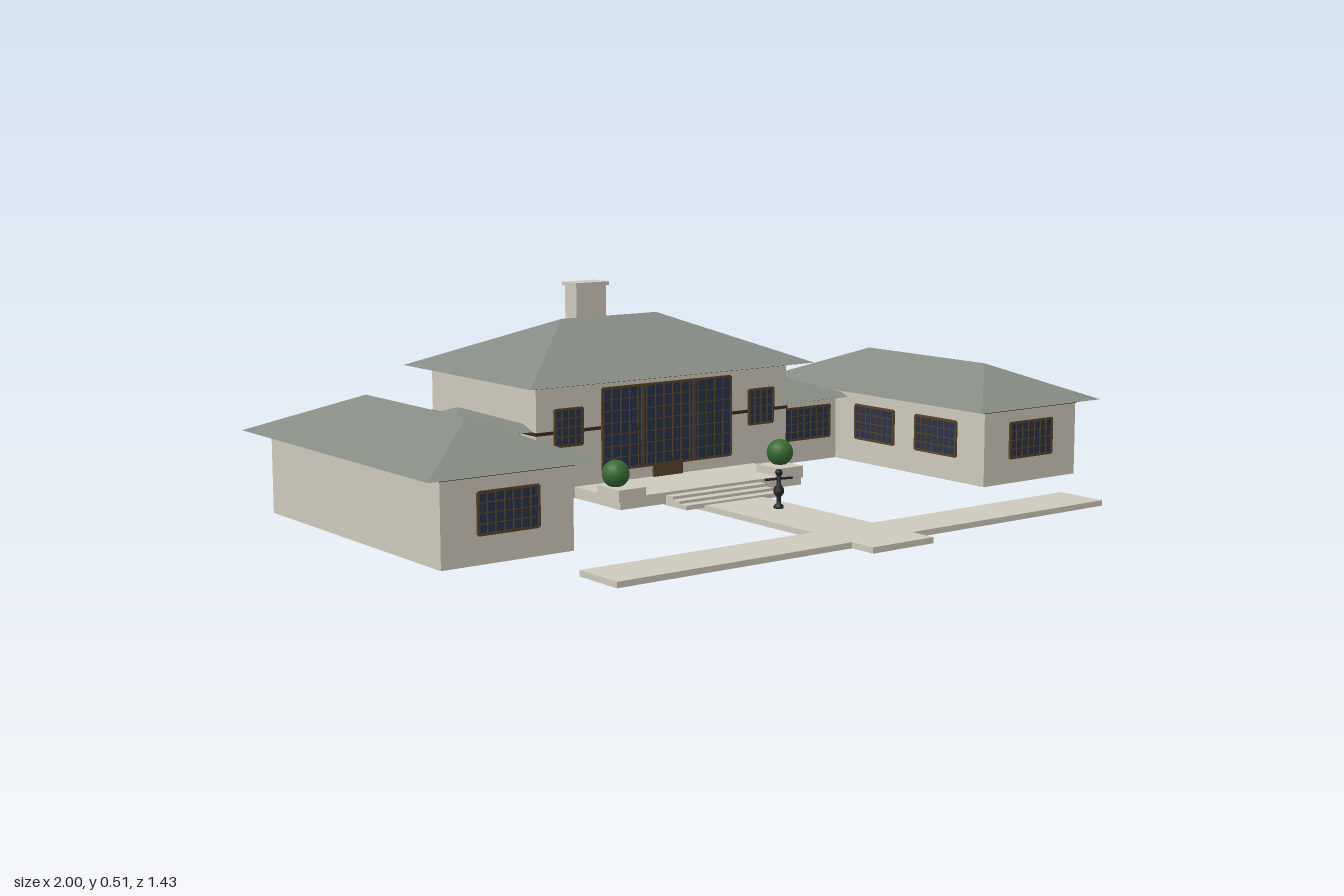
import * as THREE from 'three';

const mat = (name, color, extra = {}) => {
  const m = new THREE.MeshStandardMaterial({ color, ...extra });
  m.name = name;
  return m;
};

export function createModel() {
  const stone = mat('stone', 0xcec9bc);
  const roofTile = mat('roofTile', 0x868c84);
  const trim = mat('darkTrim', 0x3d2c20);
  const frame = mat('bronzeFrame', 0x5a4428);
  const glass = mat('glass', 0x27344c);
  const leaf = mat('leaf', 0x376b33);
  const iron = mat('iron', 0x25262a);

  const house = new THREE.Group();
  house.name = 'house';

  // Box given by its min and max on each axis
  function box(name, material, x0, x1, y0, y1, z0, z1, parent = house) {
    const mesh = new THREE.Mesh(new THREE.BoxGeometry(x1 - x0, y1 - y0, z1 - z0), material);
    mesh.position.set((x0 + x1) / 2, (y0 + y1) / 2, (z0 + z1) / 2);
    mesh.name = name;
    parent.add(mesh);
    return mesh;
  }

  // Hip roof: rectangular eave, ridge between two points (a before b), flat soffit
  function hipRoof(name, x0, x1, z0, z1, eave, top, a, b) {
    const alongX = a[0] !== b[0];
    const A = [a[0], top, a[1]], B = [b[0], top, b[1]];
    const c = [[x0, eave, z0], [x1, eave, z0], [x1, eave, z1], [x0, eave, z1]];
    const tris = alongX
      ? [c[3], c[2], B, c[3], B, A, c[1], c[0], A, c[1], A, B, c[0], c[3], A, c[2], c[1], B]
      : [c[3], c[2], B, c[1], c[0], A, c[0], c[3], B, c[0], B, A, c[2], c[1], A, c[2], A, B];
    tris.push(c[0], c[1], c[2], c[0], c[2], c[3]);
    const g = new THREE.BufferGeometry();
    g.setAttribute('position', new THREE.Float32BufferAttribute(tris.flat(), 3));
    g.computeVertexNormals();
    const mesh = new THREE.Mesh(g, roofTile);
    mesh.name = name;
    house.add(mesh);
  }

  // Walls with a dark band under the eaves
  function walls(name, x0, x1, z0, z1, top) {
    box(name, stone, x0, x1, 0.012, top - 0.001, z0, z1);
    const e = 0.003;
    box(name + 'EaveBand', trim, x0 - e, x1 + e, top - 0.011, top - 0.001, z0 - e, z1 + e);
  }

  // Gridded window facing +z, turned by angle
  function addWindow(name, x, y, z, w, h, cols, rows, angle = 0) {
    const g = new THREE.Group();
    g.name = name;
    box('pane', glass, -w / 2, w / 2, -h / 2, h / 2, 0, 0.003, g);
    for (let i = 0; i <= cols; i++) {
      const edge = i === 0 || i === cols;
      const t = edge ? 0.003 : 0.0012, p = -w / 2 + (w * i) / cols;
      box('mullion', frame, p - t, p + t, -h / 2, h / 2, 0, 0.005, g);
    }
    for (let j = 0; j <= rows; j++) {
      const edge = j === 0 || j === rows;
      const t = edge ? 0.003 : 0.0012, p = -h / 2 + (h * j) / rows;
      box('glazingBar', frame, -w / 2, w / 2, p - t, p + t, 0, 0.0045, g);
    }
    g.position.set(x, y, z);
    g.rotation.y = angle;
    house.add(g);
    return g;
  }

  // Main block
  walls('mainWalls', -0.39, 0.39, -0.66, -0.165, 0.3);
  box('stringCourse', trim, -0.393, 0.393, 0.175, 0.183, -0.663, -0.162);
  hipRoof('mainRoof', -0.44, 0.44, -0.72, -0.11, 0.298, 0.425, [-0.15, -0.415], [0.15, -0.415]);
  box('chimney', stone, -0.047, 0.047, 0.3, 0.497, -0.552, -0.498);
  box('chimneyCap', stone, -0.052, 0.052, 0.496, 0.506, -0.558, -0.492);

  // Great window in three bays, with the door below
  const great = addWindow('greatWindow', 0, 0.174, -0.161, 0.4, 0.205, 15, 7);
  for (const x of [-0.08, 0.08]) box('bayPost', frame, x - 0.004, x + 0.004, -0.1, 0.1, 0, 0.006, great);
  box('doorPanel', frame, -0.045, 0.045, 0.04, 0.073, -0.165, -0.157);

  // Terrace, steps and garden path
  box('terrace', stone, -0.28, 0.28, 0.012, 0.04, -0.17, 0.03);
  for (let i = 0; i < 3; i++) {
    box('step', stone, -0.145, 0.145, 0.008, 0.033 - i * 0.007, 0.02, 0.057 + i * 0.027);
  }
  box('path', stone, -0.09, 0.09, 0, 0.014, -0.11, 0.715);
  box('crossPath', stone, -0.72, 0.72, 0, 0.0135, 0.51, 0.645);

  for (const s of [-1, 1]) {
    const side = s < 0 ? 'right' : 'left';
    const span = (a, b) => (s > 0 ? [a, b] : [-b, -a]);

    addWindow(side + 'MainWindow', s * 0.3, 0.19, -0.161, 0.08, 0.09, 4, 4);

    // Link between the main block and the wing
    walls(side + 'LinkWalls', ...span(0.385, 0.622), -0.437, -0.23, 0.186);
    hipRoof(side + 'LinkRoof', ...span(0.345, 0.655), -0.489, -0.18, 0.184, 0.236,
      [s * 0.5, -0.345], [s * 0.5, -0.325]);
    addWindow(side + 'LinkWindow', s * 0.505, 0.117, -0.23, 0.18, 0.085, 8, 4);

    // Wing
    walls(side + 'WingWalls', ...span(0.62, 0.95), -0.44, 0.34, 0.21);
    hipRoof(side + 'WingRoof', ...span(0.57, 1), -0.493, 0.38, 0.208, 0.298,
      [s * 0.785, -0.28], [s * 0.785, 0.17]);
    addWindow(side + 'WingFrontWindow', s * 0.785, 0.122, 0.34, 0.15, 0.09, 7, 4);
    for (const z of [0.165, -0.07]) {
      addWindow(side + 'WingCourtWindow', s * 0.62, 0.122, z, 0.15, 0.09, 7, 4, -s * Math.PI / 2);
    }

    // Planter with clipped bush
    box(side + 'Planter', stone, ...span(0.207, 0.285), 0.03, 0.06, -0.06, 0.032);
    const bush = new THREE.Mesh(new THREE.SphereGeometry(0.034, 16, 12), leaf);
    bush.name = side + 'Bush';
    bush.position.set(s * 0.255, 0.09, -0.025);
    house.add(bush);
  }

  // Small iron garden figure with outstretched arms
  const figure = new THREE.Group();
  figure.name = 'gardenFigure';
  const profile = [[0, 0], [0.012, 0], [0.012, 0.006], [0.005, 0.012], [0.005, 0.026], [0.012, 0.036],
    [0.013, 0.046], [0.006, 0.056], [0.005, 0.078], [0, 0.08]].map(p => new THREE.Vector2(...p));
  const torso = new THREE.Mesh(new THREE.LatheGeometry(profile, 12), iron);
  torso.name = 'figureBody';
  const head = new THREE.Mesh(new THREE.SphereGeometry(0.009, 10, 8), iron);
  head.name = 'figureHead';
  head.position.y = 0.086;
  const arms = new THREE.Mesh(new THREE.CylinderGeometry(0.003, 0.003, 0.074, 8), iron);
  arms.name = 'figureArms';
  arms.rotation.z = Math.PI / 2;
  arms.position.y = 0.071;
  figure.add(torso, head, arms);
  figure.position.set(0.03, 0.014, 0.245);
  figure.rotation.y = -0.2;
  house.add(figure);

  return house;
}
